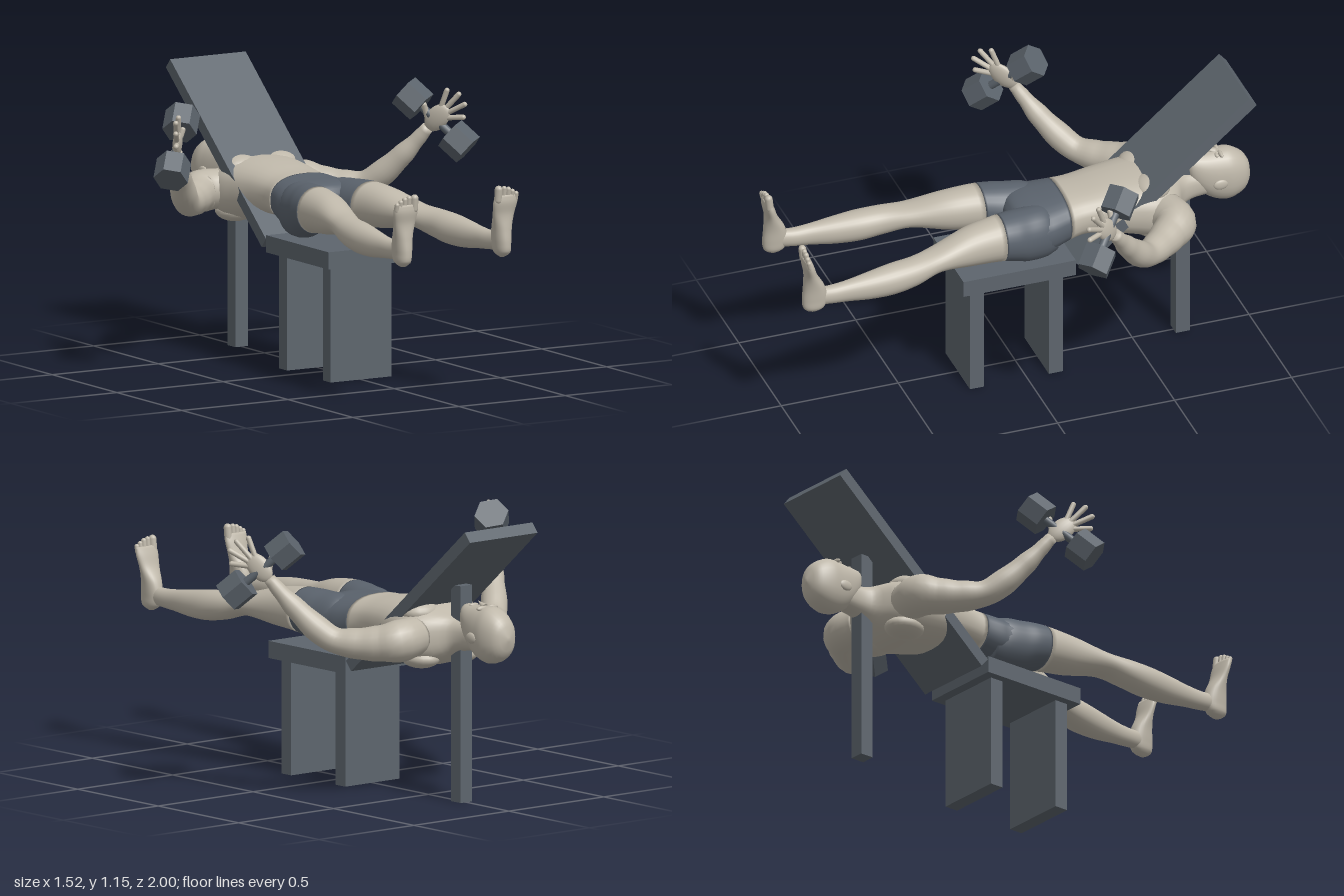
import * as THREE from 'three';
import { mergeVertices } from 'three/addons/utils/BufferGeometryUtils.js';

const V = (x, y, z) => new THREE.Vector3(x, y, z);
const mat = (name, color) => Object.assign(new THREE.MeshStandardMaterial({ color }), { name });

// Closed skin over rings of points, with a cap at each end
function skinRings(rings) {
  const n = rings[0].length, pos = [], idx = [];
  rings.forEach(r => r.forEach(p => pos.push(p.x, p.y, p.z)));
  for (let i = 0; i < rings.length - 1; i++) for (let j = 0; j < n; j++) {
    const a = i * n + j, b = i * n + (j + 1) % n;
    idx.push(a, b, a + n, b, b + n, a + n);
  }
  [0, rings.length - 1].forEach((row, end) => {
    const c = rings[row].reduce((s, p) => s.add(p), V(0, 0, 0)).divideScalar(n);
    const k = pos.length / 3;
    pos.push(c.x, c.y, c.z);
    for (let j = 0; j < n; j++) {
      const a = row * n + j, b = row * n + (j + 1) % n;
      if (end) idx.push(a, b, k); else idx.push(b, a, k);
    }
  });
  const g = new THREE.BufferGeometry();
  g.setAttribute('position', new THREE.Float32BufferAttribute(pos, 3));
  g.setIndex(idx);
  g.computeVertexNormals();
  return g;
}

// Smooth value of a table of [station, a0, a1, b0, b1] rows at station s
function sample(rows, s) {
  let i = 0;
  while (i < rows.length - 2 && s > rows[i + 1][0]) i++;
  const slope = (k, c) => {
    const a = rows[Math.max(k - 1, 0)], b = rows[Math.min(k + 1, rows.length - 1)];
    return (b[c] - a[c]) / (b[0] - a[0]);
  };
  const h = rows[i + 1][0] - rows[i][0], t = (s - rows[i][0]) / h, u = 1 - t;
  return [1, 2, 3, 4].map(c =>
    (1 + 2 * t) * u * u * rows[i][c] + t * u * u * h * slope(i, c) +
    t * t * (3 - 2 * t) * rows[i + 1][c] - t * t * u * h * slope(i + 1, c));
}

// Loft along z (a = x, b = y) or along y (a = x, b = z), limited to a range
function loft(rows, { from = rows[0][0], to = rows.at(-1)[0], axis = 'z', power = 0.9, steps = 28 } = {}) {
  const rings = [], f = v => Math.sign(v) * Math.abs(v) ** power;
  for (let i = 0; i <= steps; i++) {
    const s = from + (to - from) * i / steps, [a0, a1, b0, b1] = sample(rows, s);
    const ring = [];
    for (let j = 0; j < 28; j++) {
      const w = j / 28 * Math.PI * 2, c = f(Math.cos(w)), d = f(Math.sin(w));
      const ca = (a0 + a1) / 2, ra = (a1 - a0) / 2, cb = (b0 + b1) / 2, rb = (b1 - b0) / 2;
      ring.push(axis === 'z' ? V(ca + ra * c, cb + rb * d, s) : V(ca + ra * d, s, cb + rb * c));
    }
    rings.push(ring);
  }
  return skinRings(rings);
}

// Round limb along a curve of [x, y, z, radius] stations
function limb(st) {
  const curve = new THREE.CatmullRomCurve3(st.map(p => V(p[0], p[1], p[2])));
  const steps = 40, fr = curve.computeFrenetFrames(steps), rings = [];
  for (let i = 0; i <= steps; i++) {
    const t = i / steps, c = curve.getPointAt(t), q = curve.getUtoTmapping(t) * (st.length - 1);
    const k = Math.min(Math.floor(q), st.length - 2);
    const r = THREE.MathUtils.lerp(st[k][3], st[k + 1][3], THREE.MathUtils.smoothstep(q - k, 0, 1));
    rings.push(Array.from({ length: 20 }, (_, j) => {
      const w = j / 20 * Math.PI * 2;
      return c.clone().addScaledVector(fr.normals[i], r * Math.cos(w)).addScaledVector(fr.binormals[i], r * Math.sin(w));
    }));
  }
  return skinRings(rings);
}

const turnTo = (g, a, b) => {
  const q = new THREE.Quaternion().setFromUnitVectors(V(0, 1, 0), b.clone().sub(a).normalize());
  const m = a.clone().add(b).multiplyScalar(0.5);
  return g.applyQuaternion(q).translate(m.x, m.y, m.z);
};
const rod = (a, b, r) => turnTo(new THREE.CapsuleGeometry(r, a.distanceTo(b), 5, 10), a, b);
const blob = (x, y, z, rx, ry, rz) => new THREE.SphereGeometry(1, 20, 14).scale(rx, ry, rz).translate(x, y, z);

function mirrored(g) {
  const m = (g.index ? g.clone() : mergeVertices(g)).scale(-1, 1, 1), ix = m.index.array;
  for (let i = 0; i < ix.length; i += 3) [ix[i], ix[i + 1]] = [ix[i + 1], ix[i]];
  return m;
}

export function createModel() {
  const skin = mat('skin', 0xbfb8aa), bench = mat('bench grey', 0x5d656d);
  const cloth = mat('shorts grey', 0x5a626c), iron = mat('dumbbell grey', 0x5b636b);
  const root = new THREE.Group();
  root.name = 'incline bench exercise';
  const add = (name, g, m) => {
    const mesh = new THREE.Mesh(g, m);
    mesh.name = name;
    root.add(mesh);
    return mesh;
  };
  const pair = (name, g, m) => { add('left ' + name, g, m); add('right ' + name, mirrored(g), m); };
  const box = (name, w, h, d, y, z) => {
    const b = add(name, new THREE.BoxGeometry(w, h, d), bench);
    b.position.set(0, y, z);
    return b;
  };

  // Bench
  box('seat', 0.356, 0.07, 0.48, 0.505, 0.045);
  box('front bench leg', 0.286, 0.47, 0.06, 0.235, 0.215);
  box('rear bench leg', 0.286, 0.47, 0.06, 0.235, -0.122);
  box('backrest post', 0.06, 0.885, 0.06, 0.4425, -0.706);
  box('backrest', 0.356, 0.05, 0.968, 0.818, -0.583).rotation.x = 0.702;

  // Torso, cut at the waistband
  const sym = rows => rows.map(([z, w, y0, y1]) => [z, -w, w, y0, y1]);
  const torso = sym([
    [-0.82, 0.052, 0.63, 0.74], [-0.74, 0.056, 0.62, 0.745], [-0.69, 0.08, 0.6, 0.755],
    [-0.65, 0.15, 0.575, 0.77], [-0.6, 0.195, 0.55, 0.79], [-0.54, 0.205, 0.54, 0.803],
    [-0.45, 0.188, 0.56, 0.803], [-0.35, 0.168, 0.585, 0.795], [-0.25, 0.157, 0.595, 0.783],
    [-0.185, 0.165, 0.582, 0.78], [-0.1, 0.184, 0.56, 0.775], [-0.03, 0.185, 0.565, 0.77],
    [0.02, 0.12, 0.6, 0.755], [0.045, 0.03, 0.65, 0.72]]);
  add('torso', loft(torso, { to: -0.185, power: 0.82, steps: 40 }), skin);
  add('shorts body', loft(torso, { from: -0.185, power: 0.82 }), cloth);
  pair('chest muscle', blob(0.09, 0.765, -0.55, 0.085, 0.047, 0.075), skin);
  pair('shoulder blade', blob(0.1, 0.58, -0.57, 0.075, 0.042, 0.085), skin);

  // Legs, cut at the hem
  const leg = [
    [-0.13, 0.02, 0.165, 0.565, 0.74], [-0.08, 0.003, 0.188, 0.548, 0.768], [0, 0.006, 0.205, 0.552, 0.775],
    [0.05, 0.015, 0.215, 0.57, 0.778], [0.12, 0.035, 0.219, 0.59, 0.778], [0.25, 0.062, 0.226, 0.605, 0.763],
    [0.4, 0.11, 0.245, 0.628, 0.725], [0.5, 0.14, 0.266, 0.602, 0.716], [0.6, 0.15, 0.275, 0.585, 0.71],
    [0.7, 0.168, 0.271, 0.585, 0.698], [0.8, 0.188, 0.262, 0.596, 0.685], [0.87, 0.195, 0.26, 0.602, 0.68],
    [0.94, 0.205, 0.258, 0.61, 0.685]];
  pair('leg', loft(leg, { from: 0.11, power: 0.95, steps: 40 }), skin);
  pair('shorts leg', loft(leg, { to: 0.11, power: 0.95 }), cloth);

  // Feet with soles toward the front
  pair('foot', loft([
    [0.583, 0.225, 0.242, 0.935, 0.96], [0.6, 0.207, 0.262, 0.905, 0.988], [0.64, 0.2, 0.267, 0.89, 0.995],
    [0.7, 0.195, 0.272, 0.902, 0.99], [0.76, 0.186, 0.281, 0.935, 0.985], [0.81, 0.18, 0.29, 0.952, 0.993],
    [0.84, 0.186, 0.288, 0.964, 0.99]], { axis: 'y' }), skin);
  [[0.198, 0.864, 0.016], [0.224, 0.866, 0.011], [0.244, 0.861, 0.011], [0.263, 0.852, 0.01], [0.28, 0.842, 0.01]]
    .forEach(([x, y, r], i) => pair('toe ' + (i + 1), rod(V(x, 0.82, 0.977), V(x, y, 0.982), r), skin));

  // Head, face upward
  add('head', loft(sym([
    [-1, 0.008, 0.69, 0.71], [-0.99, 0.038, 0.65, 0.752], [-0.965, 0.062, 0.615, 0.787],
    [-0.91, 0.078, 0.59, 0.818], [-0.86, 0.075, 0.595, 0.819], [-0.81, 0.066, 0.622, 0.816],
    [-0.765, 0.052, 0.67, 0.815], [-0.738, 0.035, 0.72, 0.812], [-0.728, 0.015, 0.755, 0.8]])), skin);
  add('nose', turnTo(new THREE.ConeGeometry(0.015, 0.045, 12), V(0, 0.815, -0.845), V(0, 0.832, -0.813)), skin);
  add('lips', blob(0, 0.814, -0.783, 0.022, 0.007, 0.009), skin);
  pair('brow', blob(0.028, 0.812, -0.867, 0.026, 0.011, 0.009), skin);
  pair('eyelid', blob(0.028, 0.809, -0.85, 0.014, 0.009, 0.008), skin);
  pair('ear', blob(0.074, 0.695, -0.853, 0.01, 0.022, 0.031), skin);

  // Arms
  pair('arm', limb([
    [0.14, 0.675, -0.585, 0.08], [0.24, 0.667, -0.598, 0.086], [0.3, 0.657, -0.545, 0.073],
    [0.36, 0.655, -0.48, 0.063], [0.42, 0.667, -0.412, 0.052], [0.465, 0.71, -0.36, 0.054],
    [0.52, 0.79, -0.292, 0.044], [0.565, 0.86, -0.243, 0.031], [0.592, 0.91, -0.21, 0.025]]), skin);

  // Hands with spread fingers
  const palm = V(0.612, 0.952, -0.17), along = V(0.045, 0.095, 0.085).normalize();
  const flat = V(-0.05, 0.11, -0.055).cross(along).normalize(), across = along.clone().cross(flat);
  const basis = new THREE.Matrix4().makeBasis(across, along, flat).setPosition(palm);
  pair('palm', blob(0, 0, 0, 0.045, 0.068, 0.02).applyMatrix4(basis), skin);
  [V(0.632, 1.068, -0.128), V(0.666, 1.054, -0.093), V(0.68, 1.015, -0.07), V(0.676, 0.962, -0.075)]
    .forEach((tip, i) => pair('finger ' + (i + 1), rod(palm.clone().lerp(tip, 0.3), tip, 0.011), skin));
  pair('thumb', rod(V(0.592, 0.935, -0.205), V(0.568, 1.005, -0.2), 0.012), skin);

  // Dumbbells with six-sided weights
  const lo = V(0.675, 0.86, -0.105), hi = V(0.545, 1.025, -0.25);
  const dir = hi.clone().sub(lo).normalize().multiplyScalar(0.05);
  pair('dumbbell handle', turnTo(new THREE.CylinderGeometry(0.017, 0.017, lo.distanceTo(hi), 16), lo, hi), iron);
  [lo, hi].forEach((c, i) => {
    const g = new THREE.CylinderGeometry(0.07, 0.07, 0.1, 6).toNonIndexed();
    g.computeVertexNormals();
    pair('dumbbell weight ' + (i + 1), turnTo(g, c.clone().sub(dir), c.clone().add(dir)), iron);
  });
  return root;
}
